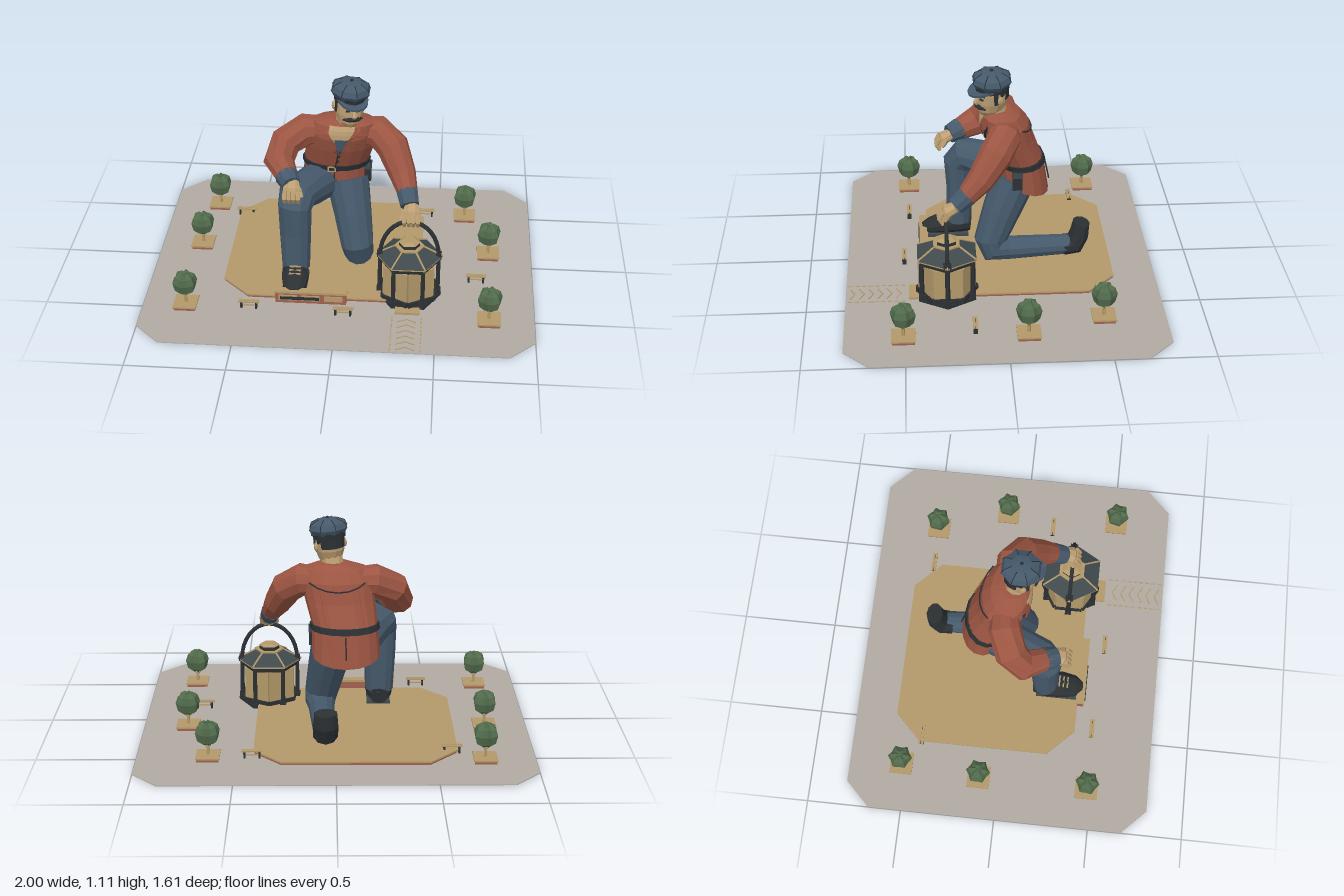
import * as THREE from 'three';

const mat = (name, color) => Object.assign(new THREE.MeshStandardMaterial({ color }), { name });
const V = (x, y, z) => new THREE.Vector3(x, y, z);

export function createModel() {
  const stone = mat('paving grey', 0xb0aaa2), tan = mat('sandstone', 0xb3996a), brick = mat('brick', 0xa2604f);
  const red = mat('jacket red', 0x9c5542), blue = mat('denim blue', 0x45596b), dark = mat('dark iron', 0x2b3033);
  const slate = mat('roof slate', 0x3f494c), skin = mat('skin', 0xbd9f73), green = mat('leaf green', 0x516b4c);
  const clothPatch = mat('shirt blue', 0x4b6072);
  clothPatch.side = THREE.DoubleSide;
  const root = new THREE.Group();

  // Faceted mesh helper
  function add(name, geo, m, x = 0, y = 0, z = 0, parent = root) {
    const g = geo.index ? geo.toNonIndexed() : geo;
    g.computeVertexNormals();
    const o = new THREE.Mesh(g, m);
    o.name = name;
    o.position.set(x, y, z);
    parent.add(o);
    return o;
  }
  const box = (name, w, h, d, m, x, y, z, p) => add(name, new THREE.BoxGeometry(w, h, d), m, x, y, z, p);
  function group(name, x, y, z, parent = root) {
    const g = new THREE.Group();
    g.name = name;
    g.position.set(x, y, z);
    parent.add(g);
    return g;
  }

  // Closed skin over a list of rings
  function loft(rings) {
    const n = rings[0].length, pos = [], idx = [];
    rings.forEach(r => r.forEach(p => pos.push(p.x, p.y, p.z)));
    for (let i = 0; i < rings.length - 1; i++) for (let j = 0; j < n; j++) {
      const a = i * n + j, b = i * n + (j + 1) % n;
      idx.push(a, b, a + n, b, b + n, a + n);
    }
    const last = (rings.length - 1) * n;
    for (let j = 1; j < n - 1; j++) idx.push(0, j + 1, j, last, last + j, last + j + 1);
    const g = new THREE.BufferGeometry();
    g.setAttribute('position', new THREE.Float32BufferAttribute(pos, 3));
    g.setIndex(idx);
    return g;
  }
  // Limb through points [x, y, z, radius, second radius]
  function limb(pts, n = 10) {
    const c = pts.map(p => V(p[0], p[1], p[2]));
    let u = null;
    return loft(c.map((p, i) => {
      const t = V(0, 0, 0);
      if (i > 0) t.add(p.clone().sub(c[i - 1]).normalize());
      if (i < c.length - 1) t.add(c[i + 1].clone().sub(p).normalize());
      t.normalize();
      if (!u) u = Math.abs(t.x) > 0.9 ? V(0, 1, 0) : V(1, 0, 0);
      u = u.clone().addScaledVector(t, -u.dot(t)).normalize();
      const v = t.clone().cross(u), r = pts[i][3], r2 = pts[i][4] ?? r;
      return Array.from({ length: n }, (_, j) => {
        const a = (j + 0.5) / n * Math.PI * 2;
        return p.clone().addScaledVector(u, r * Math.cos(a)).addScaledVector(v, r2 * Math.sin(a));
      });
    }));
  }
  const oval = (cx, y, cz, rx, rz, n = 12, tilt = 0) => Array.from({ length: n }, (_, j) => {
    const a = j / n * Math.PI * 2;
    return V(cx + rx * Math.sin(a), y + tilt * Math.cos(a), cz + rz * Math.cos(a));
  });
  // Flat slab with cut corners, lying on y
  function slab(name, x0, x1, z0, z1, cut, y, h, m) {
    const s = new THREE.Shape([[x0 + cut, -z0], [x0, -z0 - cut], [x0, -z1 + cut], [x0 + cut, -z1], [x1 - cut, -z1],
      [x1, -z1 + cut], [x1, -z0 - cut], [x1 - cut, -z0]].map(p => new THREE.Vector2(...p)));
    add(name, new THREE.ExtrudeGeometry(s, { depth: h, bevelEnabled: false }).rotateX(-Math.PI / 2), m, 0, y, 0);
  }

  // Plaza and raised platform
  slab('plaza', -1, 1, -0.805, 0.805, 0.13, 0, 0.004, stone);
  slab('platformWall', -0.61, 0.41, -0.58, 0.38, 0.14, 0.004, 0.012, brick);
  slab('platformTop', -0.615, 0.415, -0.585, 0.385, 0.14, 0.016, 0.008, tan);

  // Path with chevrons leading to the lantern
  box('doorMat', 0.125, 0.014, 0.06, tan, 0.355, 0.009, 0.452);
  for (let i = 0; i < 9; i++) for (const s of [-1, 1]) {
    box('pathEdge', 0.006, 0.003, 0.022, tan, 0.355 + s * 0.075, 0.005, 0.51 + i * 0.034);
    if (i < 6) box('chevron', 0.052, 0.003, 0.006, tan, 0.355 + s * 0.023, 0.005, 0.535 + i * 0.047).rotation.y = -s * 0.5;
  }

  // Planted trees
  [[-0.745, -0.525], [-0.78, -0.105], [-0.78, 0.475], [0.64, -0.49], [0.77, -0.105], [0.77, 0.51]].forEach(([x, z], k) => {
    const t = group('tree', x, 0, z);
    box('planter', 0.11, 0.016, 0.11, brick, 0, 0.012, 0, t);
    box('planterTop', 0.12, 0.008, 0.12, tan, 0, 0.022, 0, t);
    add('trunk', limb([[0, 0.02, 0, 0.009], [0, 0.12, 0, 0.007]], 6), tan, 0, 0, 0, t);
    for (const s of [-1, 1]) add('branch', limb([[0, 0.06, 0, 0.005], [s * 0.03, 0.1, 0, 0.004]], 5), tan, 0, 0, 0, t);
    const crown = [[0.085, 0.028], [0.1, 0.052], [0.145, 0.062], [0.18, 0.05], [0.2, 0.02]].map(([y, r]) =>
      oval(0, y, 0, r, r, 12).map((p, j) => V(p.x * (j % 2 ? 0.84 : 1.05), y + (j % 2 ? -0.004 : 0.004), p.z * (j % 2 ? 0.84 : 1.05))));
    add('foliage', loft(crown), green, 0, 0, 0, t).rotation.y = k;
  });

  // Benches
  [[-0.585, -0.435], [0.42, -0.49], [0.705, 0.155], [-0.455, 0.475], [0.03, 0.505]].forEach(([x, z]) => {
    const b = group('bench', x, 0, z);
    for (const s of [-1, 1]) {
      box('slat', 0.105, 0.007, 0.011, tan, 0, 0.043, s * 0.007, b);
      box('benchLeg', 0.01, 0.037, 0.022, dark, s * 0.038, 0.022, 0, b);
    }
    box('benchRail', 0.08, 0.006, 0.006, tan, 0, 0.02, 0, b);
  });

  // Low wall with a blank plaque
  box('wall', 0.365, 0.058, 0.035, brick, -0.143, 0.033, 0.4);
  box('wallCap', 0.375, 0.012, 0.042, tan, -0.143, 0.067, 0.4);
  for (let i = 0; i < 3; i++) box('wallPanel', 0.095, 0.03, 0.006, tan, -0.26 + i * 0.117, 0.036, 0.419);
  box('plaque', 0.2, 0.016, 0.006, dark, -0.2, 0.036, 0.423);

  // Lantern pavilion
  const L = group('lantern', 0.355, 0, 0.285);
  const hex = (name, r1, r0, h, y, m) => add(name, new THREE.CylinderGeometry(r1, r0, h, 6), m, 0, y + h / 2, 0, L).rotation.y = Math.PI / 6;
  hex('lanternBase', 0.168, 0.168, 0.018, 0, dark);
  hex('lanternBeam', 0.16, 0.155, 0.03, 0.21, dark);
  hex('eaveTrim', 0.172, 0.172, 0.007, 0.236, tan);
  hex('roof', 0.075, 0.172, 0.05, 0.243, slate);
  hex('roofCollar', 0.077, 0.077, 0.01, 0.29, tan);
  hex('vent', 0.05, 0.055, 0.022, 0.3, dark);
  hex('ventCap', 0.035, 0.058, 0.012, 0.32, tan);
  for (let i = 0; i < 6; i++) {
    const a = i * Math.PI / 3, c = Math.cos(a), s = Math.sin(a);
    add('post', limb([[c * 0.15, 0.01, s * 0.15, 0.013], [c * 0.15, 0.22, s * 0.15, 0.012]], 6), dark, 0, 0, 0, L);
    box('postFoot', 0.034, 0.03, 0.034, dark, c * 0.148, 0.03, s * 0.148, L);
    add('roofRib', limb([[c * 0.172, 0.243, s * 0.172, 0.005], [c * 0.075, 0.294, s * 0.075, 0.005]], 5), tan, 0, 0, 0, L);
    const side = group('lanternSide', 0, 0, 0, L);
    side.rotation.y = a + Math.PI / 6 + Math.PI / 3;
    const open = Math.abs(Math.abs(Math.sin(side.rotation.y))) < 0.1;
    if (!open) {
      box('sidePanel', 0.14, 0.18, 0.01, tan, 0, 0.12, 0.126, side);
      box('sill', 0.15, 0.028, 0.022, dark, 0, 0.03, 0.13, side);
    } else for (const m of [-1, 1]) {
      box('doorFrame', 0.022, 0.19, 0.012, tan, m * 0.062, 0.115, 0.13, side);
      box('brace', 0.045, 0.009, 0.01, tan, m * 0.042, 0.19, 0.13, side).rotation.z = m * -0.8;
    }
  }
  const arc = Array.from({ length: 17 }, (_, i) => {
    const a = i / 16 * Math.PI;
    return [Math.cos(a) * 0.15, 0.24 + Math.sin(a) * 0.2, 0, 0.011];
  });
  add('lanternHandle', limb(arc, 8), dark, 0, 0, 0, L);
  for (const s of [-1, 1]) box('handleHinge', 0.03, 0.028, 0.04, dark, s * 0.15, 0.245, 0, L);

  // Jacket rows: y, centre x, centre z, half width, half depth, hem tilt
  const man = group('kneelingMan', 0, 0, 0);
  const part = (name, geo, m) => add(name, geo, m, 0, 0, 0, man);
  const rows = [[0.43, -0.055, -0.135, 0.175, 0.13, 0.045], [0.575, -0.05, -0.115, 0.168, 0.12, 0], [0.7, -0.025, -0.06, 0.18, 0.122, 0],
    [0.8, -0.01, -0.03, 0.185, 0.125, 0], [0.855, 0, -0.012, 0.16, 0.1, 0], [0.878, 0.008, -0.002, 0.075, 0.065, 0]];
  part('jacket', loft(rows.map(r => oval(r[1], r[0], r[2], r[3], r[4], 16, r[5]))), red);
  // Point on the jacket at an angle (0 is front) and height
  function on(a, y, off = 0.004) {
    let i = 0;
    while (i < rows.length - 2 && y > rows[i + 1][0]) i++;
    const f = (y - rows[i][0]) / (rows[i + 1][0] - rows[i][0]);
    const [cx, cz, rx, rz] = [1, 2, 3, 4].map(k => rows[i][k] + (rows[i + 1][k] - rows[i][k]) * f);
    return V(cx + (rx + off) * Math.sin(a), y, cz + (rz + off) * Math.cos(a));
  }
  const ring = (y, off) => Array.from({ length: 16 }, (_, j) => on(j / 8 * Math.PI, y, off));
  part('belt', loft([ring(0.56, 0.009), ring(0.59, 0.009)]), dark);
  const seam = (name, pts, m = dark, r = 0.004) => part(name, limb(pts.map(([a, y]) => [...on(a, y).toArray(), r]), 5), m);
  seam('backYoke', [-0.85, -0.6, -0.3, 0, 0.3, 0.6, 0.85].map(a => [Math.PI + a, 0.765 + a * a * 0.05]));
  seam('backVent', [[Math.PI, 0.435], [Math.PI, 0.55]]);
  for (const s of [-1, 1]) seam('backPleat', [[Math.PI + s * 0.6, 0.6], [Math.PI + s * 0.55, 0.77]], red, 0.005);
  seam('frontClosure', [[0, 0.45], [0, 0.56], [0, 0.72]]);

  // Curved patches on the chest
  function patch(name, [A, B, C, D], m, off) {
    const pos = [], idx = [], n = 4;
    for (let i = 0; i <= n; i++) for (let j = 0; j <= n; j++) {
      const f = i / n, g = j / n, mix = k => (A[k] * (1 - g) + B[k] * g) * (1 - f) + (D[k] * (1 - g) + C[k] * g) * f;
      pos.push(...on(mix(0), mix(1), off).toArray());
      if (i < n && j < n) { const a = i * (n + 1) + j; idx.push(a, a + n + 1, a + 1, a + 1, a + n + 1, a + n + 2); }
    }
    const geo = new THREE.BufferGeometry();
    geo.setAttribute('position', new THREE.Float32BufferAttribute(pos, 3));
    geo.setIndex(idx);
    part(name, geo, m);
  }
  patch('openNeck', [[-0.55, 0.862], [0.42, 0.862], [0.14, 0.77], [-0.16, 0.77]], skin, 0.007);
  patch('shirtFront', [[-0.17, 0.79], [0.2, 0.79], [0.02, 0.69], [-0.02, 0.69]], clothPatch, 0.008);
  for (const s of [-1, 1]) {
    const lap = [[s * 0.5, 0.862], [s * 0.75, 0.82], [s * 0.5, 0.77], [s * 0.02, 0.7]];
    patch('lapel', s < 0 ? [lap[1], lap[0], lap[3], lap[2]] : lap, red, 0.013);
    seam('lapelEdge', [[s * 0.75, 0.82], [s * 0.5, 0.77], [s * 0.02, 0.7]], dark, 0.007);
  }
  [0.63, 0.67, 0.71].forEach(y => part('button', new THREE.SphereGeometry(0.008, 6, 4), dark).position.copy(on(0.04, y)));
  const buckle = on(-0.08, 0.575, 0.012);
  box('buckle', 0.045, 0.03, 0.008, tan, buckle.x, buckle.y, buckle.z, man);
  box('buckleCentre', 0.03, 0.016, 0.009, dark, buckle.x, buckle.y, buckle.z + 0.001, man);
  box('pouch', 0.035, 0.1, 0.05, dark, 0.118, 0.515, -0.09, man);
  box('pouchFlap', 0.04, 0.03, 0.054, slate, 0.118, 0.55, -0.09, man);

  // Sleeves, cuffs and hands
  part('rightSleeve', limb([[-0.09, 0.785, -0.03, 0.07], [-0.2, 0.785, -0.02, 0.085], [-0.3, 0.73, 0.02, 0.085],
    [-0.33, 0.65, 0.09, 0.08], [-0.27, 0.62, 0.21, 0.055]]), red);
  part('leftSleeve', limb([[0.08, 0.785, -0.03, 0.07], [0.17, 0.79, -0.02, 0.085], [0.25, 0.73, 0.03, 0.085],
    [0.305, 0.62, 0.11, 0.07], [0.34, 0.54, 0.19, 0.05]]), red);
  part('rightCuff', limb([[-0.28, 0.625, 0.19, 0.061], [-0.25, 0.608, 0.25, 0.05]]), blue);
  part('leftCuff', limb([[0.333, 0.555, 0.175, 0.056], [0.35, 0.505, 0.235, 0.049]]), blue);
  [['right', -0.245, 0.575], ['left', 0.36, 0.465]].forEach(([side, x, y]) => {
    part(side + 'Hand', limb([[x, y + 0.04, 0.235, 0.036, 0.03], [x, y + 0.02, 0.275, 0.048, 0.033], [x, y - 0.02, 0.295, 0.046, 0.026]], 8), skin);
    for (let i = 0; i < 4; i++) {
      const fx = x + (i - 1.5) * 0.023;
      part('finger', limb([[fx, y + 0.025, 0.3, 0.011], [fx, y - 0.01, 0.318, 0.012], [fx, y - 0.04, 0.3, 0.01]], 6), skin);
    }
    const t = side === 'right' ? 1 : -1;
    part('thumb', limb([[x + t * 0.035, y + 0.025, 0.265, 0.013], [x + t * 0.05, y - 0.015, 0.29, 0.011]], 6), skin);
  });

  // Legs and shoes
  part('rightLeg', limb([[-0.1, 0.46, -0.12, 0.11], [-0.19, 0.49, 0.08, 0.1], [-0.23, 0.5, 0.165, 0.1, 0.095],
    [-0.24, 0.45, 0.2, 0.09, 0.085], [-0.24, 0.3, 0.198, 0.086, 0.07], [-0.238, 0.1, 0.205, 0.076, 0.068]], 12), blue);
  part('leftLeg', limb([[0.01, 0.47, -0.08, 0.115], [0.045, 0.3, -0.01, 0.1], [0.072, 0.15, 0.045, 0.088],
    [0.078, 0.095, 0.03, 0.08], [0.072, 0.09, -0.05, 0.068, 0.062], [0.055, 0.092, -0.38, 0.058, 0.052]], 12), blue);
  part('rightShoe', limb([[-0.238, 0.075, 0.14, 0.05, 0.045], [-0.24, 0.082, 0.2, 0.07, 0.058], [-0.235, 0.08, 0.29, 0.072, 0.052],
    [-0.232, 0.065, 0.36, 0.06, 0.038], [-0.23, 0.055, 0.4, 0.035, 0.024]]), dark);
  box('rightSole', 0.125, 0.016, 0.22, slate, -0.235, 0.031, 0.265, man);
  for (let i = 0; i < 3; i++) box('lace', 0.06, 0.006, 0.008, tan, -0.234, 0.134 - i * 0.008, 0.277 + i * 0.022, man);
  part('leftShoe', limb([[0.055, 0.088, -0.34, 0.062, 0.054], [0.052, 0.095, -0.4, 0.066, 0.058], [0.05, 0.15, -0.425, 0.066, 0.052],
    [0.05, 0.22, -0.435, 0.06, 0.045]]), dark);

  // Neck and head, turned towards the lantern
  part('neck', limb([[0.01, 0.84, 0.01, 0.06], [0.02, 0.93, 0.03, 0.055]], 10), skin);
  const H = group('head', 0.018, 0.868, 0.028, man);
  H.rotation.set(0.08, 0.38, -0.1);
  const face = (name, geo, m) => add(name, geo, m, 0, 0, 0, H);
  face('face', loft([[0, 0.022, 0.035, 0.045], [0.025, 0.012, 0.06, 0.07], [0.07, 0.004, 0.074, 0.082],
    [0.12, 0, 0.077, 0.082], [0.16, 0, 0.075, 0.08]].map(([y, z, rx, rz]) => oval(0, y, z, rx, rz))), skin);
  face('nose', limb([[0, 0.112, 0.078, 0.008], [0, 0.08, 0.096, 0.014], [0, 0.07, 0.088, 0.013]], 6), skin);
  face('mouth', new THREE.BoxGeometry(0.03, 0.005, 0.006).translate(0, 0.04, 0.084), brick);
  face('hair', loft([oval(0, 0.085, -0.014, 0.07, 0.07), oval(0, 0.15, -0.012, 0.078, 0.073)]), dark);
  for (const s of [-1, 1]) {
    face('moustache', limb([[0, 0.06, 0.092, 0.011], [s * 0.025, 0.055, 0.084, 0.011], [s * 0.052, 0.05, 0.066, 0.004]], 6), dark);
    face('eye', new THREE.BoxGeometry(0.022, 0.01, 0.008).rotateY(s * 0.35).translate(s * 0.031, 0.102, 0.074), dark);
    face('eyebrow', limb([[s * 0.013, 0.117, 0.083, 0.005], [s * 0.05, 0.121, 0.066, 0.004]], 5), dark);
    face('sideburn', new THREE.BoxGeometry(0.008, 0.06, 0.02).translate(s * 0.075, 0.105, 0.014), dark);
    face('ear', new THREE.SphereGeometry(0.02, 7, 5).scale(0.55, 1.2, 0.9).translate(s * 0.079, 0.095, -0.008), skin);
  }

  // Cap with a peak
  face('capBand', loft([oval(0, 0.135, 0, 0.084, 0.088), oval(0, 0.168, 0, 0.086, 0.09)]), dark);
  face('capCrown', loft([[0.155, 0.088], [0.182, 0.104], [0.21, 0.092], [0.23, 0.05], [0.234, 0.02]].map(([y, r]) => oval(0, y, 0, r, r, 8))), blue);
  face('capButton', new THREE.SphereGeometry(0.01, 6, 4).translate(0, 0.235, 0), dark);
  for (let i = 0; i < 8; i++) {
    const a = i * Math.PI / 4, s = Math.sin(a), c = Math.cos(a);
    face('capSeam', limb([[0.182, 0.104], [0.21, 0.092], [0.23, 0.05]].map(([y, r]) => [s * r, y, c * r, 0.0025]), 4), dark);
  }
  const peak = oval(0, 0, 0.035, 0.08, 0.095, 14).map(p => V(p.x, 0.142 - Math.max(0, p.z - 0.06) * 0.25, p.z));
  face('capPeak', loft([peak, peak.map(p => p.clone().setY(p.y + 0.012))]), blue);
  return root;
}
